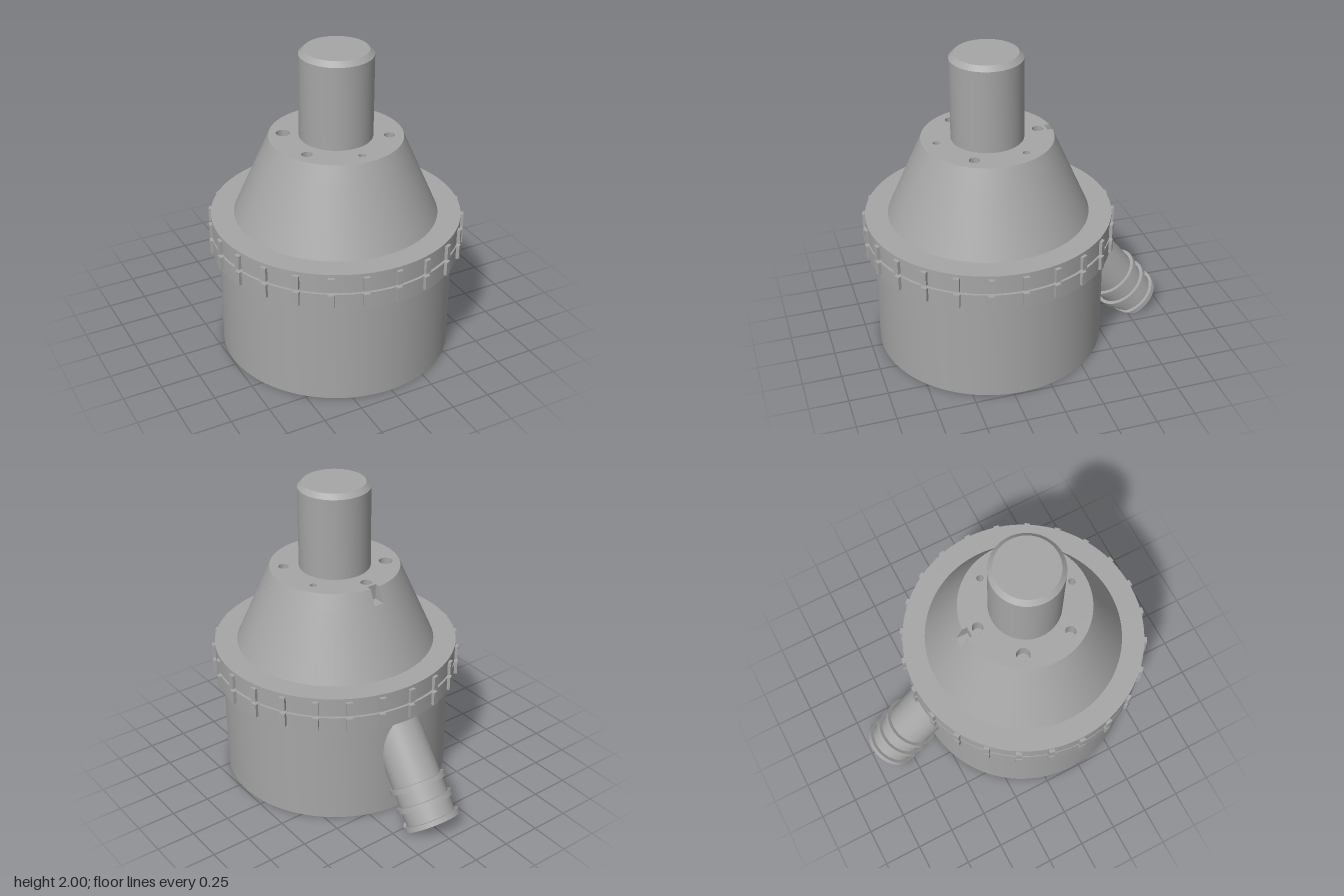
import * as THREE from 'three';
import { toCreasedNormals } from 'three/addons/utils/BufferGeometryUtils.js';

const grey = new THREE.MeshStandardMaterial({ color: 0xa6a6a6, side: THREE.DoubleSide });
grey.name = 'grey';

const SEG = 96;
const CONE_TOP = 1.44, TOP_R = 0.415;          // top of the cone
const SLOT_Y = 1.34, SLOT_R = 0.4587;          // slot floor, cone radius there
const SLOT_X = 0.033, SLOT_Z = 0.38;           // slot half width, inner wall

const vec = pts => pts.map(([x, y]) => new THREE.Vector2(x, y));

function lathe(pts, seg = SEG, start = 0, length = Math.PI * 2) {
  return new THREE.LatheGeometry(vec(pts), seg, start, length);
}

// Flat four-cornered faces, each given as a list of corners
function quads(list) {
  const pos = list.flatMap(([a, b, c, d]) => [a, b, c, a, c, d].flat());
  const g = new THREE.BufferGeometry();
  g.setAttribute('position', new THREE.Float32BufferAttribute(pos, 3));
  g.computeVertexNormals();
  return g;
}

export function createModel() {
  const model = new THREE.Group();
  model.name = 'housing';
  const add = (name, geometry, parent = model) => {
    const mesh = new THREE.Mesh(geometry, grey);
    mesh.name = name;
    parent.add(mesh);
    return mesh;
  };
  const turned = (name, pts, seg) => add(name, toCreasedNormals(lathe(pts, seg), 0.5));

  // Main body, collar halves with a groove, and lower cone
  turned('body', [[0.74, 0], [0.74, 0.68]]);
  turned('collar', [[0.73, 0.68], [0.785, 0.68], [0.785, 0.79], [0.768, 0.79],
    [0.768, 0.81], [0.785, 0.81], [0.785, 0.925], [0.64, 0.925]]);
  turned('cone', [[0.64, 0.925], [SLOT_R, SLOT_Y]]);
  turned('shaft', [[0.228, CONE_TOP], [0.228, 1.97], [0.198, 2], [0, 2]], 64);

  // Upper cone, left open at the back where the slot is cut
  const gap = Math.asin(SLOT_X / 0.437);
  const upper = lathe([[SLOT_R, SLOT_Y], [TOP_R, CONE_TOP]], SEG, Math.PI + gap, Math.PI * 2 - 2 * gap);
  const up = upper.attributes.position;
  for (const [column, side] of [[0, -1], [SEG, 1]]) {
    for (let j = 0; j < 2; j++) {
      const r = j ? TOP_R : SLOT_R;
      up.setX(column * 2 + j, side * SLOT_X);
      up.setZ(column * 2 + j, -Math.sqrt(r * r - SLOT_X * SLOT_X));
    }
  }
  add('upperCone', upper);

  // Slot walls and floor
  const zTop = -Math.sqrt(TOP_R ** 2 - SLOT_X ** 2), zLow = -Math.sqrt(SLOT_R ** 2 - SLOT_X ** 2);
  const side = x => [[x, SLOT_Y, -SLOT_Z], [x, CONE_TOP, -SLOT_Z], [x, CONE_TOP, zTop], [x, SLOT_Y, zLow]];
  const [l, r] = [side(-SLOT_X), side(SLOT_X)];
  add('slot', quads([l, r, [l[0], r[0], r[1], l[1]], [l[0], l[3], r[3], r[0]]]));

  // Top plate with the slot outline and a ring of holes
  const a = Math.asin(SLOT_X / TOP_R);
  const plate = new THREE.Shape();
  plate.absarc(0, 0, TOP_R, Math.PI / 2 + a, Math.PI * 2.5 - a, false);
  plate.lineTo(SLOT_X, SLOT_Z);
  plate.lineTo(-SLOT_X, SLOT_Z);
  plate.closePath();
  [0.035, 0.022, 0.033, 0.022, 0.034, 0.044].forEach((radius, i) => {
    const t = i * Math.PI / 3, x = 0.325 * Math.sin(t), y = 0.325 * Math.cos(t);
    const hole = new THREE.Path();
    hole.absarc(x, y, radius, 0, Math.PI * 2, true);
    plate.holes.push(hole);
    const bore = turned('screwHole', [[0, -0.1], [radius, -0.1], [radius, 0]], 24);
    bore.position.set(x, CONE_TOP, -y);
  });
  add('topPlate', new THREE.ShapeGeometry(plate, 48).rotateX(-Math.PI / 2)).position.y = CONE_TOP;

  // Grip ribs in two rows around the collar
  const ribs = new THREE.Group();
  ribs.name = 'gripRibs';
  model.add(ribs);
  for (let i = 0; i < 24; i++) {
    for (const y of [0.747, 0.86]) {
      const rib = add('rib', new THREE.BoxGeometry(0.038, 0.09, 0.04), ribs);
      const t = i * Math.PI / 12;
      rib.position.set(0.785 * Math.sin(t), y, 0.785 * Math.cos(t));
      rib.rotation.y = t;
    }
  }

  // Base with two many-sided pockets
  const base = new THREE.Shape();
  base.absarc(0, 0, 0.74, 0, Math.PI * 2, false);
  const DEPTH = 0.3;
  const pockets = [
    [[0.65, 0.11], [0.695, -0.04], [0.595, -0.18], [0.42, -0.18], [0.295, -0.09],
      [0.26, 0.05], [0.39, 0.175], [0.54, 0.17]],
    [[-0.033, 0.14], [-0.067, -0.17], [-0.256, -0.213], [-0.35, -0.025], [-0.34, 0.15], [-0.15, 0.23]],
  ];
  for (const p of pockets) {
    base.holes.push(new THREE.Path(vec(p)));
    add('pocketWalls', quads(p.map(([x, z], i) => {
      const [u, w] = p[(i + 1) % p.length];
      return [[x, 0, z], [u, 0, w], [u, DEPTH, w], [x, DEPTH, z]];
    })));
    add('pocketFloor', new THREE.ShapeGeometry(new THREE.Shape(vec(p))).rotateX(Math.PI / 2)).position.y = DEPTH;
  }
  add('base', new THREE.ShapeGeometry(base, 48).rotateX(Math.PI / 2));

  // Slanted barbed spout, trimmed flat at floor level
  const PIPE = 0.162, BAND = 0.185, THICK = 0.033;
  const profile = [];
  for (let i = 0; i <= 12; i++) profile.push([BAND * i / 12, 0]);
  for (const y of [0, 0.125, 0.25]) {
    if (y) profile.push([PIPE, y], [BAND, y]);
    for (let k = 1; k <= 3; k++) profile.push([BAND, y + THICK * k / 3]);
    for (let k = 0; k < 4; k++) profile.push([PIPE, y + THICK + 0.022 * k]);
  }
  profile.push([PIPE, 0.72]);
  const spout = lathe(profile, 72);
  spout.rotateX(Math.atan2(0.6, 0.8)).translate(0, 0.03, -1.03);
  const sp = spout.attributes.position;
  for (let i = 0; i < sp.count; i++) sp.setY(i, Math.max(0, sp.getY(i)));
  add('spout', toCreasedNormals(spout, 0.5));

  for (const part of model.children) part.position.z += 0.19;
  return model;
}
